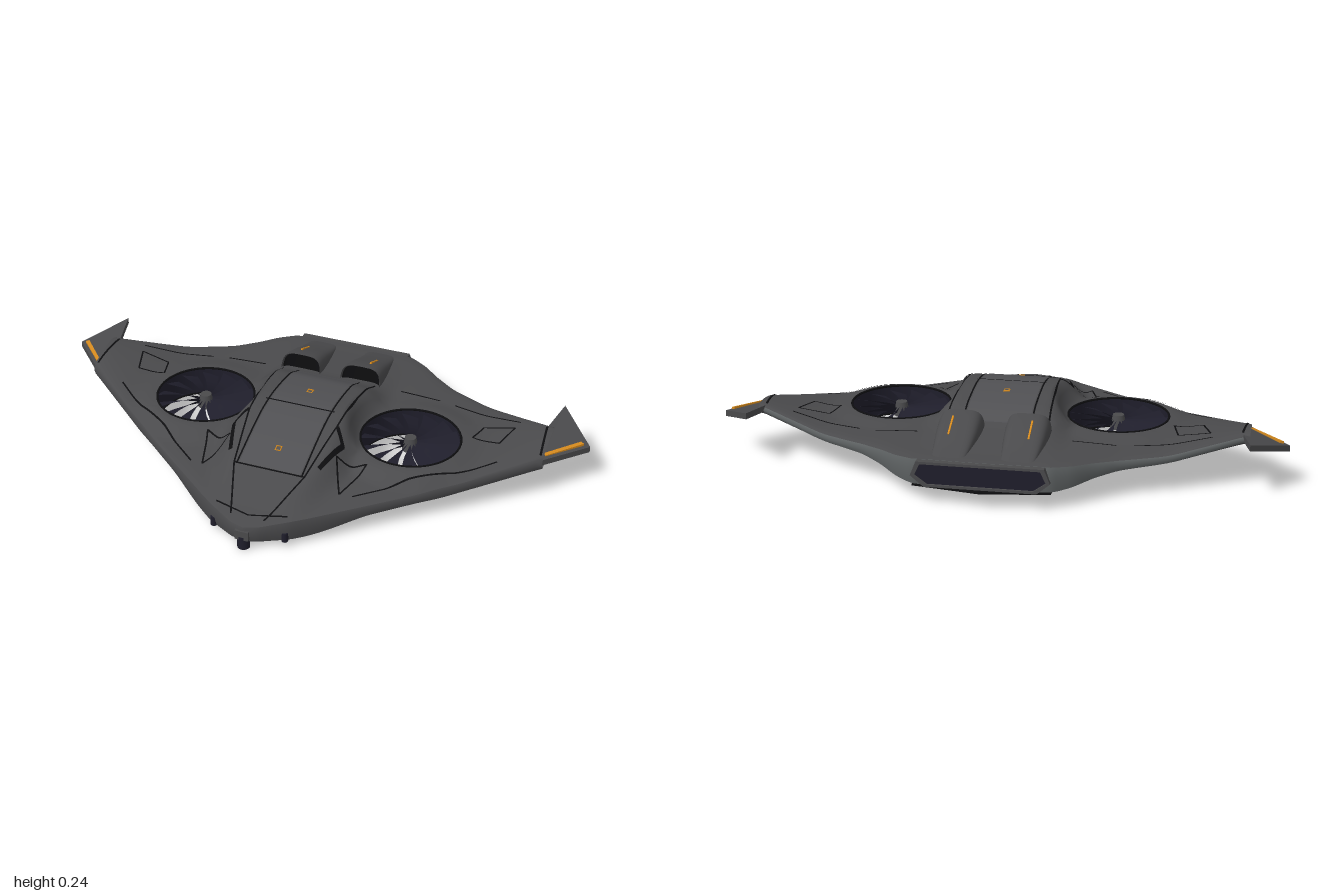
import * as THREE from 'three';

const mat = (name, color) => Object.assign(new THREE.MeshStandardMaterial({ color, side: THREE.DoubleSide }), { name });
const M = {
  hull: mat('hull grey', 0x4a4a4c), edge: mat('edge grey', 0x5e6263), panel: mat('canopy grey', 0x505053),
  fan: mat('fan navy', 0x1f1e2b), line: mat('seam black', 0x0e0e10), orange: mat('marker orange', 0xd58a1e),
};
const FAN = { x: 0.395, z: -0.032, r: 0.18 };
const TIP = 0.866;
const clamp = (v) => Math.min(1, Math.max(0, v));
const mix = (a, b, t) => a + (b - a) * t;
const smooth = (a, b, v) => { const t = clamp((v - a) / (b - a)); return t * t * (3 - 2 * t); };

// piecewise profile, and a softened version of it
function pw(p, v) {
  if (v <= p[0][0]) return p[0][1];
  for (let i = 1; i < p.length; i++)
    if (v <= p[i][0]) return mix(p[i - 1][1], p[i][1], (v - p[i - 1][0]) / (p[i][0] - p[i - 1][0]));
  return p[p.length - 1][1];
}
const soft = (p, v) => [-0.03, -0.015, 0, 0.015, 0.03].reduce((s, o) => s + pw(p, v + o), 0) / 5;

// planform edges and edge heights, by distance from the centreline
const leadZ = (x) => pw([[0, 0.575], [0.05, 0.56], [0.144, 0.505], [TIP, -0.064]], x);
const trailZ = (x) => pw([[0, -0.56], [0.235, -0.555], [0.3, -0.52], [0.36, -0.47], [0.44, -0.417], [0.845, -0.24], [TIP, -0.235]], x);
const leadTop = [[0, 0.085], [0.144, 0.095], [0.5, 0.11], [0.6, 0.12], [TIP, 0.158]];
const leadBot = [[0, 0.03], [0.144, 0.045], [0.5, 0.075], [0.6, 0.082], [TIP, 0.122]];
const trailTop = [[0, 0.15], [0.235, 0.15], [0.44, 0.135], [0.6, 0.135], [TIP, 0.185]];
const trailBot = [[0, 0.06], [0.235, 0.065], [0.44, 0.1], [0.6, 0.11], [TIP, 0.165]];
const spine = [[-0.56, 0.15], [-0.45, 0.16], [-0.29, 0.175], [-0.25, 0.185], [-0.2, 0.218], [-0.1, 0.234], [0, 0.242],
  [0.1, 0.232], [0.2, 0.203], [0.3, 0.168], [0.4, 0.135], [0.5, 0.099], [0.575, 0.085]];
const keel = [[-0.56, 0.06], [-0.25, 0.04], [-0.1, 0.02], [0.2, 0.006], [0.4, 0.015], [0.575, 0.03]];

// upper and lower skin heights
function skin(px, z, upper) {
  const x = Math.abs(px), zt = trailZ(x), t = clamp((z - zt) / (leadZ(x) - zt));
  const bulge = Math.sqrt(4 * t * (1 - t)), d = Math.hypot(x - FAN.x, z - FAN.z);
  const ring = 1 - smooth(0.19, 0.28, d), keep = smooth(0.18, 0.23, d);
  if (upper) {
    const y = mix(mix(soft(trailTop, x), soft(leadTop, x), t) + 0.018 * bulge, 0.158, ring);
    const w = mix(0.165, 0.09, smooth(0.15, 0.55, z));
    return y + Math.max(0, soft(spine, z) - y) * (1 - smooth(w, w + 0.1, x)) * keep;
  }
  const y = mix(mix(soft(trailBot, x), soft(leadBot, x), t) - 0.012 * bulge, 0.05, ring);
  return y - Math.max(0, y - soft(keel, z)) * (1 - smooth(0.13, 0.38, x)) * keep;
}

// surface through rows of points, optionally skipping cells
function loft(rows, skip = () => false) {
  const n = rows[0].length, idx = [];
  for (let i = 0; i < rows.length - 1; i++) for (let j = 0; j < n - 1; j++) {
    if (skip(i, j)) continue;
    const a = i * n + j, d = a + n;
    idx.push(a, a + 1, d + 1, a, d + 1, d);
  }
  const g = new THREE.BufferGeometry();
  g.setAttribute('position', new THREE.Float32BufferAttribute(rows.flat(2), 3));
  g.setIndex(idx);
  g.computeVertexNormals();
  return g;
}

// prism over a convex polygon
function slab(pts, h) {
  const pos = [], tri = (...p) => p.forEach((q) => pos.push(...q)), low = pts.map(([x, y, z]) => [x, y - h, z]);
  pts.forEach((p, i) => {
    const k = (i + 1) % pts.length;
    tri(p, low[i], low[k]); tri(p, low[k], pts[k]);
    if (i > 1) { tri(pts[0], pts[i - 1], p); tri(low[0], low[i], low[i - 1]); }
  });
  const g = new THREE.BufferGeometry();
  g.setAttribute('position', new THREE.Float32BufferAttribute(pos, 3));
  g.computeVertexNormals();
  return g;
}

export function createModel() {
  const root = new THREE.Group();
  const add = (name, geo, m, parent = root) => {
    const o = new THREE.Mesh(geo, m);
    o.name = name;
    parent.add(o);
    return o;
  };

  // hull: skin grid whose cells bend around the two fan wells
  const half = [];
  for (const [a, b, n] of [[0, 0.215, 14], [0.215, 0.575, 20], [0.575, TIP, 14]])
    for (let i = 0; i < n; i++) half.push(mix(a, b, i / n));
  half.push(TIP);
  const xs = [...half.slice(1).reverse().map((v) => -v), ...half];
  const N = [14, 20, 16], last = 50;
  const plan = xs.map((x) => {
    const ax = Math.abs(x), o = clamp((ax - 0.575) / (TIP - 0.575));
    const cuts = [trailZ(ax), mix(-0.212, -0.18, o), mix(0.148, -0.12, o), leadZ(ax)], col = [];
    N.forEach((n, s) => { for (let j = 0; j < n; j++) col.push(mix(cuts[s], cuts[s + 1], j / n)); });
    col.push(cuts[3]);
    return col.map((z, j) => {
      const dx = ax - FAN.x, dz = z - FAN.z, m = Math.max(Math.abs(dx), Math.abs(dz));
      if (j === 0 || j === last || m > 0.27 || m < 1e-6) return [x, z];
      const k = mix(m / Math.hypot(dx, dz), 1, clamp((m - FAN.r) / (0.27 - FAN.r)));
      return [Math.sign(x) * (FAN.x + dx * k), FAN.z + dz * k];
    });
  });
  const well = (i, j) => Math.abs(Math.abs(xs[i] + xs[i + 1]) / 2 - FAN.x) < FAN.r && j >= N[0] && j < N[0] + N[1];
  const top = plan.map((c) => c.map(([x, z]) => [x, skin(x, z, true), z]));
  const bottom = plan.map((c) => c.map(([x, z]) => [x, skin(x, z, false), z]));
  add('upperHull', loft(top, well), M.hull);
  add('lowerHull', loft(bottom.slice().reverse(), (i, j) => well(xs.length - 2 - i, j)), M.hull);

  // bevelled leading and trailing edges
  for (const [name, j, s, m] of [['leadingEdge', last, 1, M.hull], ['trailingEdge', 0, -1, M.edge]])
    add(name, loft(top.map((c, i) => {
      const a = c[j], b = bottom[i][j], row = [a, [a[0], mix(a[1], b[1], 0.4), a[2] + s * 0.01], b];
      return s > 0 ? row : row.reverse();
    })), m);

  // seams draped over the skin, mirrored where off-centre
  function seam(name, pts, upper = true, w = 0.006, m = M.line, both = true) {
    for (const side of both ? [1, -1] : [1]) {
      const rows = [];
      for (let i = 0; i < pts.length - 1; i++) {
        const [a, b] = [pts[i], pts[i + 1]], len = Math.hypot(b[0] - a[0], b[1] - a[1]), n = Math.ceil(len / 0.015);
        const ox = -(b[1] - a[1]) / len * w / 2, oz = (b[0] - a[0]) / len * w / 2;
        for (let k = 0; k <= n; k++) {
          const x = mix(a[0], b[0], k / n), z = mix(a[1], b[1], k / n);
          const p = [1, -1].map((q) => {
            const X = side * (x + q * ox), Z = z + q * oz;
            return [X, skin(X, Z, upper) + (upper ? 0.003 : -0.003), Z];
          });
          rows.push((side > 0) === upper ? p : p.reverse());
        }
      }
      add(name, loft(rows), m);
    }
  }
  seam('spineSeam', [[0.12, -0.27], [0.12, 0.33]]);
  seam('canopySeam', [[0.18, -0.27], [0.165, 0.1], [0.13, 0.33], [0.06, 0.53]]);
  for (const z of [0.03, 0.33]) seam('crossSeam', [[-0.13, z], [0.13, z]], true, 0.006, M.line, false);
  seam('noseSeam', [[0, 0.52], [0.13, 0.49]]);
  seam('cheekWindow', [[0.165, 0.1], [0.205, 0.15], [0.165, 0.28]], true, 0.014);
  seam('flapSeam', [[0.27, -0.31], [0.42, -0.31]]);
  seam('flapSeam', [[0.48, -0.3], [0.74, -0.24]]);
  seam('wingHatch', [[0.62, -0.19], [0.73, -0.2], [0.7, -0.1], [0.6, -0.11], [0.62, -0.19]]);
  seam('wingSeam', [[0.255, 0.325], [0.2, 0.2], [0.3, 0.17], [0.255, 0.325]]);
  seam('wingSeam', [[0.3, 0.32], [0.46, 0.19], [0.6, 0.1], [0.72, 0.0]]);
  seam('tipSeam', [[0.84, -0.225], [0.855, -0.07]], true, 0.008);
  for (const z of [-0.14, 0.0, 0.14, 0.28])
    seam('bellyHatch', [[-0.05, z], [0.05, z], [0.05, z + 0.09], [-0.05, z + 0.09], [-0.05, z]], false, 0.005, M.line, false);
  seam('canopyPanel', [[0, -0.26], [0, 0.325]], true, 0.225, M.panel, false);
  for (const z of [-0.07, 0.24]) {
    const marker = add('spineMarker', new THREE.TorusGeometry(0.013, 0.004, 4, 4, Math.PI * 2).rotateZ(Math.PI / 4).rotateX(-Math.PI / 2), M.orange);
    marker.position.set(0, skin(0, z, true) + 0.002, z);
    if (z > 0) marker.rotation.x = 0.33;
  }

  // exhaust frame, dark slot and lower lip
  const slot = (k) => [[-0.235, 0.1], [-0.19, 0.062], [0.19, 0.062], [0.235, 0.1], [0.215, 0.15], [-0.215, 0.15]]
    .map(([x, y]) => new THREE.Vector2(x * (1 - k * 0.3), 0.106 + (y - 0.106) * (1 - k)));
  const frame = new THREE.Shape(slot(0));
  frame.holes.push(new THREE.Path(slot(0.2)));
  add('exhaustFrame', new THREE.ExtrudeGeometry(frame, { depth: 0.03, bevelEnabled: false }), M.hull).position.z = -0.58;
  add('exhaustSlot', new THREE.ShapeGeometry(new THREE.Shape(slot(0.1))).rotateY(Math.PI), M.fan).position.z = -0.573;
  add('exhaustLip', slab([[-0.235, 0.06, -0.51], [0.235, 0.06, -0.51], [0.235, 0.06, -0.556], [0, 0.06, -0.593], [-0.235, 0.06, -0.556]].reverse(), 0.006), M.line);

  for (const s of [1, -1]) {
    // engine hump with intake
    const arch = ([z, hw, h], lean = 0) => Array.from({ length: 17 }, (_, k) => {
      const a = Math.PI * k / 16, c = Math.cos(a), q = Math.sqrt(Math.max(0, Math.sin(a)));
      return [s * 0.117 + hw * Math.sign(c) * Math.sqrt(Math.abs(c)), 0.145 + (h - 0.145) * q, z - lean * q];
    });
    const humps = [[-0.27, 0.077, 0.238], [-0.33, 0.077, 0.23], [-0.39, 0.073, 0.208], [-0.45, 0.066, 0.182], [-0.5, 0.06, 0.165], [-0.555, 0.054, 0.148]];
    add('engineHump', loft(humps.map((h, i) => arch(h, i ? 0 : 0.022)).reverse().map((r) => r.reverse())), M.hull);
    const mouth = arch([-0.28, 0.073, 0.233], 0.02);
    add('intakeMouth', loft([mouth, mouth.map((p) => [p[0], 0.145, p[2]])]), M.line);
    add('humpMarker', new THREE.BoxGeometry(0.006, 0.006, 0.09).rotateX(-0.42), M.orange).position.set(s * 0.137, 0.211, -0.383);

    // lift fan: duct, rim, blades, hub
    const fan = new THREE.Group();
    fan.name = 'liftFan';
    fan.position.set(s * FAN.x, 0, FAN.z);
    root.add(fan);
    add('duct', new THREE.CylinderGeometry(0.178, 0.178, 0.108, 64, 1, true).translate(0, 0.104, 0), M.fan, fan);
    for (const y of [0.158, 0.05])
      add('rim', new THREE.TorusGeometry(0.179, 0.004, 6, 64).rotateX(Math.PI / 2).translate(0, y, 0), M.line, fan);
    for (let k = 0; k < 14; k++) {
      const rows = [0.02, 0.07, 0.12, 0.178].map((r) => [-1, 0, 1].map((q) => {
        const a = q * 0.172 + (r - 0.1) * 1.2;
        return [r * Math.cos(a), 0.133 + q * 0.01, -r * Math.sin(a)];
      }));
      add('blade', loft(rows.map((r) => r.reverse())), M.fan, fan).rotation.y = k * Math.PI / 7;
    }
    add('hub', new THREE.CylinderGeometry(0.02, 0.03, 0.05, 24).translate(0, 0.135, 0), M.hull, fan);

    // upswept winglet with marker strip
    const tip = [[0.86, 0.156, -0.06], [1, 0.15, -0.212], [0.87, 0.2, -0.364], [0.842, 0.187, -0.235]].map(([x, y, z]) => [s * x, y, z]);
    add('winglet', slab(s > 0 ? tip : tip.reverse(), 0.022), M.hull);
    const strip = [[0.869, 0.162, -0.088], [0.978, 0.162, -0.206], [0.966, 0.165, -0.212], [0.861, 0.165, -0.097]].map(([x, y, z]) => [s * x, y, z]);
    add('wingletMarker', slab(s > 0 ? strip : strip.reverse(), 0.008), M.orange);

    // small nose sensors
    add('noseSensor', new THREE.CylinderGeometry(0.012, 0.012, 0.035, 12), M.fan).position.set(s * 0.13, 0.04, 0.515);
  }

  // chin turret
  add('chinTurret', new THREE.CylinderGeometry(0.022, 0.022, 0.05, 16), M.fan).position.set(0, 0.025, 0.565);
  add('turretMount', new THREE.BoxGeometry(0.05, 0.035, 0.06), M.hull).position.set(0, 0.057, 0.555);
  return root;
}
